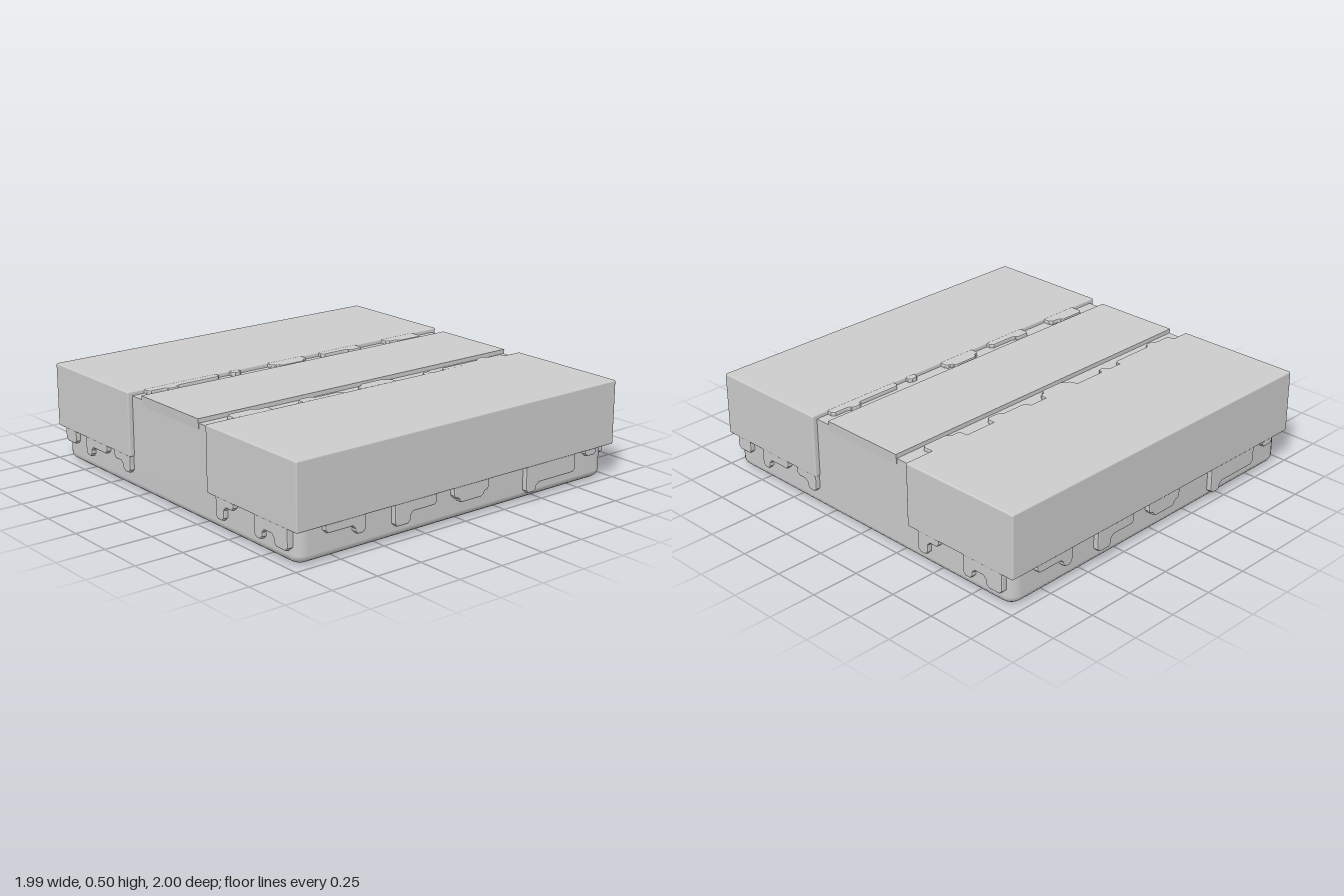
import * as THREE from 'three';
import { RoundedBoxGeometry } from 'three/addons/geometries/RoundedBoxGeometry.js';

const mat = new THREE.MeshStandardMaterial({ color: 0xcccccc });

function add(parent, name, geo) {
  const m = new THREE.Mesh(geo, mat);
  m.name = name;
  parent.add(m);
  return m;
}

// Closed outline with every corner cut by a small chamfer
function chamferedShape(corners, c = 0.016) {
  const p = corners.map(([x, y]) => new THREE.Vector2(x, y));
  const out = [];
  p.forEach((b, i) => {
    for (const n of [p[(i + p.length - 1) % p.length], p[(i + 1) % p.length]]) {
      const d = n.clone().sub(b);
      out.push(b.clone().addScaledVector(d, Math.min(c, d.length() * 0.35) / d.length()));
    }
  });
  return new THREE.Shape(out);
}

// One drip: steps are [start, end, level]; its root is hidden inside the turf
function dripGeometry(steps, root) {
  const pts = [[steps[0][0], root]];
  for (const [a, b, v] of steps) pts.push([a, v], [b, v]);
  pts.push([steps[steps.length - 1][1], root]);
  return new THREE.ExtrudeGeometry(chamferedShape(pts), {
    depth: 0.03, bevelEnabled: true, bevelThickness: 0.008,
    bevelSize: 0.008, bevelOffset: -0.008, bevelSegments: 2,
  });
}

const FRONT = [
  [[-0.83, -0.66, 0.133], [-0.66, -0.6, 0.09]],
  [[-0.43, -0.335, 0.068], [-0.335, -0.175, 0.122]],
  [[-0.07, -0.035, 0.122], [-0.035, 0.12, 0.095], [0.12, 0.155, 0.122]],
  [[0.4, 0.47, 0.042], [0.47, 0.735, 0.083]],
  [[0.805, 0.885, 0.143]],
];
const LEFT = [
  [[0.33, 0.395, 0.09], [0.395, 0.475, 0.135]],
  [[0.54, 0.685, 0.133], [0.685, 0.74, 0.082]],
  [[0.835, 0.935, 0.11]],
];
const RIGHT = [
  [[0.39, 0.455, 0.07], [0.455, 0.53, 0.14]],
  [[0.685, 0.745, 0.07], [0.745, 0.83, 0.122], [0.83, 0.93, 0.07]],
];
const INNER = [
  [[-0.83, -0.67, 0.255], [-0.67, -0.605, 0.275]],
  [[-0.43, -0.34, 0.27], [-0.34, -0.175, 0.29]],
  [[-0.07, -0.035, 0.28], [-0.035, 0.12, 0.255], [0.12, 0.155, 0.28]],
  [[0.335, 0.395, 0.293]],
  [[0.47, 0.735, 0.29], [0.735, 0.795, 0.265], [0.795, 0.9, 0.285]],
];

// Turf slab with drips over its outer sides and its inner edge
function turfHalf(name) {
  const g = new THREE.Group();
  g.name = name;
  const slab = add(g, 'turfSlab', new RoundedBoxGeometry(1.99, 0.33, 0.675, 2, 0.008));
  slab.position.set(0, 0.34, 0.6625);
  for (const d of FRONT) add(g, 'frontDrip', dripGeometry(d, 0.22)).position.z = 0.957;
  for (const [list, x, label] of [[LEFT, 0.985, 'leftDrip'], [RIGHT, -0.955, 'rightDrip']]) {
    for (const d of list) add(g, label, dripGeometry(d, 0.22).rotateY(-Math.PI / 2)).position.x = x;
  }
  for (const d of INNER) add(g, 'innerDrip', dripGeometry(d, 0.37).rotateX(Math.PI / 2)).position.y = 0.495;
  return g;
}

// Earth block: rounded-square rings, filleted at the bottom and flat on top
function earthGeometry(half, top, r, fillet) {
  const rings = [];
  for (let i = 0; i <= 5; i++) {
    const a = (i / 5) * Math.PI / 2;
    rings.push([fillet * (1 - Math.sin(a)), fillet * 0.75 * (1 - Math.cos(a))]);
  }
  rings.push([0, top]);
  const pos = [], idx = [], n = 24;
  for (const [inset, y] of rings) {
    for (let k = 0; k < n; k++) {
      const q = Math.floor(k / 6);
      const a = (q + (k % 6) / 5) * Math.PI / 2;
      const cx = (q === 0 || q === 3 ? 1 : -1) * (half - r);
      const cz = (q < 2 ? 1 : -1) * (half - r);
      pos.push(cx + (r - inset) * Math.cos(a), y, cz + (r - inset) * Math.sin(a));
    }
  }
  for (let j = 0; j < rings.length - 1; j++) {
    for (let k = 0; k < n; k++) {
      const a = j * n + k, b = j * n + (k + 1) % n;
      idx.push(a, a + n, b, b, a + n, b + n);
    }
  }
  // Caps with their own corners, so that the rims stay crisp
  for (const [ring, up] of [[0, false], [rings.length - 1, true]]) {
    const base = pos.length / 3;
    for (let k = 0; k < n; k++) pos.push(...pos.slice((ring * n + k) * 3, (ring * n + k) * 3 + 3));
    for (let k = 1; k < n - 1; k++) {
      idx.push(base, base + (up ? k + 1 : k), base + (up ? k : k + 1));
    }
  }
  const geo = new THREE.BufferGeometry();
  geo.setAttribute('position', new THREE.Float32BufferAttribute(pos, 3));
  geo.setIndex(idx);
  geo.computeVertexNormals();
  return geo;
}

export function createModel() {
  const model = new THREE.Group();
  model.name = 'groundTile';

  add(model, 'earthBlock', earthGeometry(0.968, 0.483, 0.065, 0.06));

  // Path strip whose ends lean in slightly towards the bottom
  const path = new THREE.BoxGeometry(1.946, 0.053, 0.474);
  const p = path.attributes.position;
  for (let i = 0; i < p.count; i++) {
    if (p.getY(i) < 0) p.setX(i, Math.sign(p.getX(i)) * 0.969);
  }
  path.computeVertexNormals();
  add(model, 'pathStrip', path).position.y = 0.4785;

  // The two turf halves are half a turn apart
  model.add(turfHalf('frontTurf'));
  const back = turfHalf('backTurf');
  back.rotation.y = Math.PI;
  model.add(back);
  return model;
}
